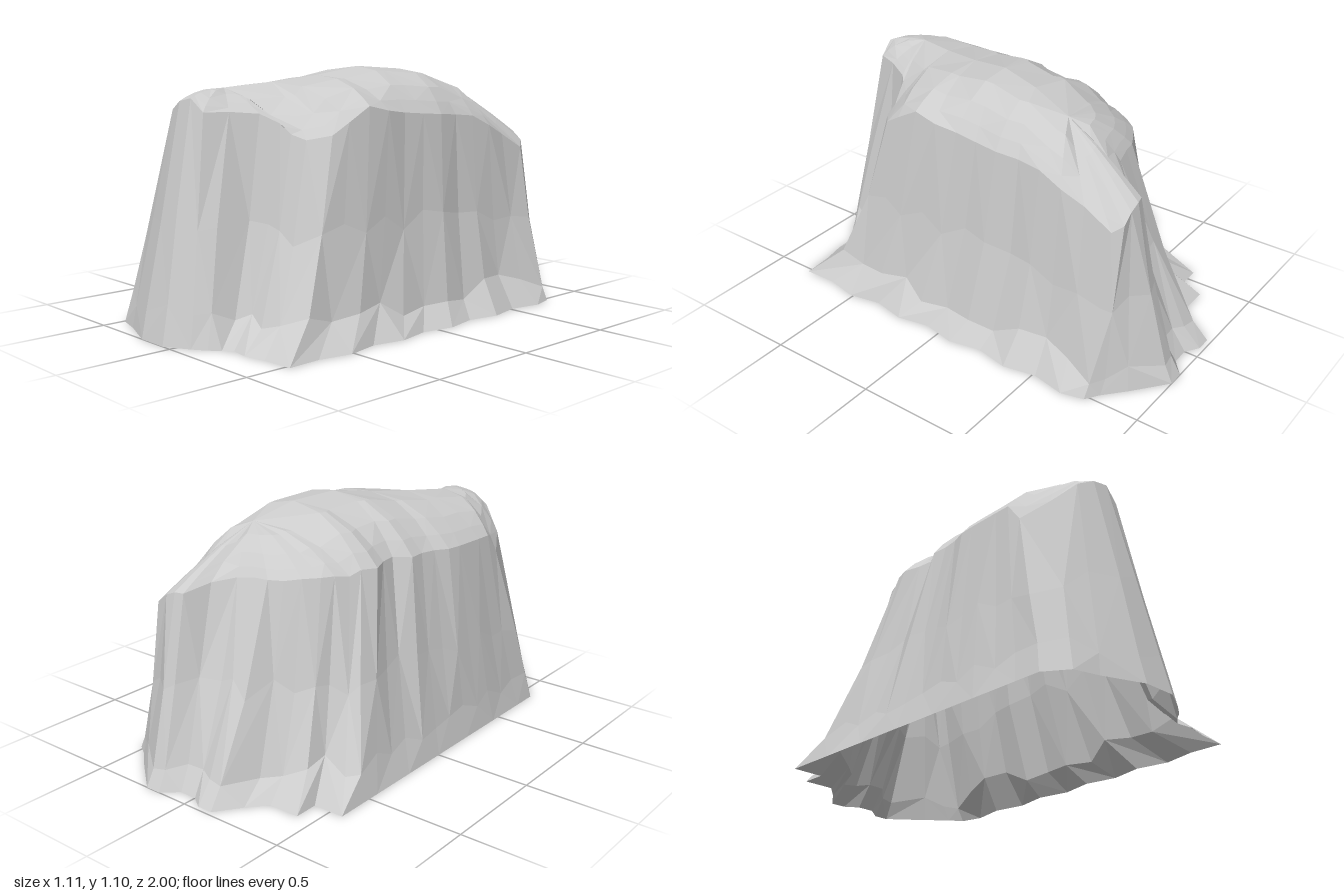
import * as THREE from 'three';

// Each column of the cliff: foot x, foot z, shoulder x, y, z, flare power (1 = straight wall)
const frontColumns = [
  [-0.56, 0.80, -0.445, 0.77, 0.60], [-0.49, 0.90, -0.38, 0.83, 0.71],
  [-0.38, 0.93, -0.28, 0.93, 0.77], [-0.20, 1.00, -0.20, 0.97, 0.79],
  [-0.05, 1.00, -0.12, 0.985, 0.79], [0.06, 0.94, -0.05, 0.93, 0.78],
  [0.12, 0.90, -0.01, 0.93, 0.68], [0.16, 0.86, 0.05, 0.92, 0.57],
  [0.20, 0.83, 0.11, 0.88, 0.51], [0.28, 0.84, 0.18, 0.84, 0.51],
  [0.38, 0.82, 0.25, 0.82, 0.49], [0.52, 0.81, 0.33, 0.84, 0.42],
].map((c, i) => [...c, i < 7 ? 1 : 0.5]);

const backColumns = [
  [0.52, -0.76, 0.35, 0.71, -0.75], [0.46, -0.80, 0.32, 0.74, -0.79],
  [0.37, -0.88, 0.27, 0.78, -0.79], [0.22, -1.00, 0.22, 0.80, -0.79],
  [0.15, -1.00, 0.18, 0.80, -0.78], [0.08, -0.94, 0.13, 0.83, -0.67],
  [0.00, -0.94, 0.05, 0.85, -0.60], [-0.06, -0.98, -0.03, 0.86, -0.58],
  [-0.13, -0.98, -0.09, 0.86, -0.57], [-0.21, -0.87, -0.15, 0.86, -0.54],
  [-0.28, -0.79, -0.21, 0.87, -0.50], [-0.42, -0.79, -0.26, 0.87, -0.44],
  [-0.42, -0.68, -0.29, 0.87, -0.39], [-0.56, -0.68, -0.32, 0.86, -0.33],
].map((c, i) => [...c, i < 9 ? 0.75 : 0.45]);

const lerp = THREE.MathUtils.lerp;

// Piecewise linear lookup through [position, value] pairs
function sample(pairs, p) {
  for (let i = 1; i < pairs.length; i++) {
    const [a, va] = pairs[i - 1], [b, vb] = pairs[i];
    if (p <= b) return lerp(va, vb, Math.max(0, (p - a) / (b - a)));
  }
  return pairs[pairs.length - 1][1];
}

// Ridge line along the top
const ridgeY = [[-0.4, 1.03], [-0.2, 1.085], [0, 1.10], [0.2, 1.065], [0.4, 1.04], [0.6, 1.02]];
const ridgeX = [[-0.4, 0.14], [-0.2, 0.09], [0, 0.03], [0.2, -0.02], [0.4, -0.08], [0.6, -0.15]];
// Shoulder height along the right wall
const rightY = [[-0.62, 0.78], [-0.4, 0.88], [0, 0.91], [0.15, 0.93], [0.27, 0.96], [0.36, 0.87]];
// Shoulder x along the left wall, with a notch in the middle
const leftX = [[-0.28, -0.34], [-0.2, -0.37], [-0.08, -0.32], [0.02, -0.39], [0.12, -0.38], [0.25, -0.43], [0.5, -0.44]];

function cliffColumns() {
  const right = [], left = [];
  for (let i = 0; i < 10; i++) {
    const z = lerp(0.66, -0.66, i / 9), sz = lerp(0.34, -0.62, i / 9);
    right.push([0.53 + (i % 2 ? 0.015 : -0.015), z, 0.345 + (i % 3) * 0.006, sample(rightY, sz), sz, 0.4]);
  }
  for (let i = 0; i < 12; i++) {
    const z = lerp(-0.56, 0.68, i / 11), sz = lerp(-0.28, 0.53, i / 11);
    const sx = sample(leftX, sz);
    left.push([-0.56, z, sx, 0.86 + (sx + 0.44) * 0.2, sz, 0.85]);
  }
  return [...frontColumns, ...right, ...backColumns, ...left];
}

// Closed loop of columns joined into a faceted skin
function skin(rows) {
  const n = rows[0].length, positions = rows.flat(2), index = [];
  for (let r = 0; r < rows.length - 1; r++) {
    for (let i = 0; i < n; i++) {
      const j = (i + 1) % n;
      const a = r * n + i, b = r * n + j, c = b + n, d = a + n;
      if ((i + r) % 2) index.push(a, b, c, a, c, d);
      else index.push(a, b, d, b, c, d);
    }
  }
  const geometry = new THREE.BufferGeometry();
  geometry.setAttribute('position', new THREE.Float32BufferAttribute(positions, 3));
  geometry.setIndex(index);
  geometry.computeVertexNormals();
  return geometry;
}

export function createModel() {
  const group = new THREE.Group();
  group.name = 'rockOutcrop';
  const material = new THREE.MeshStandardMaterial({ color: 0xcccccc, flatShading: true, side: THREE.DoubleSide });

  let seed = 7;
  const jitter = (amount) => {
    seed = (seed * 16807) % 2147483647;
    return (seed / 2147483647 - 0.5) * 2 * amount;
  };

  const columns = cliffColumns();

  // Steep walls, flaring at the foot, with uneven streaks
  const wallRows = [0, 0.13, 0.5, 1].map((level) => columns.map(([bx, bz, sx, sy, sz, power]) => {
    const rough = level > 0 && level < 1 ? 1 : 0;
    const t = level + jitter(0.05 * rough);
    const f = Math.pow(t, power);
    return [lerp(bx, sx, f) + jitter(0.006 * rough), sy * t, lerp(bz, sz, f) + jitter(0.006 * rough)];
  }));
  const walls = new THREE.Mesh(skin(wallRows), material);
  walls.name = 'cliffWalls';

  // Rounded crown, from the shoulders to shared stations on the ridge
  const crownRows = [0, 0.12, 0.3, 0.6, 1].map((t) => columns.map(([, , sx, sy, sz], i) => {
    const rz = THREE.MathUtils.clamp(Math.round(sz * 5) / 5, -0.4, 0.6);
    const inRecess = i > 5 && i < 12;
    const roundness = sz < -0.6 ? 1.2 : inRecess ? 1.5 : sz < -0.4 ? 1.9 : 2.6;
    const rise = 1 - (1 - t) ** roundness;
    return [lerp(sx, sample(ridgeX, rz), t), lerp(sy, sample(ridgeY, rz), rise), lerp(sz, rz, t)];
  }));
  const crown = new THREE.Mesh(skin(crownRows), material);
  crown.name = 'crown';

  group.add(walls, crown);
  return group;
}
